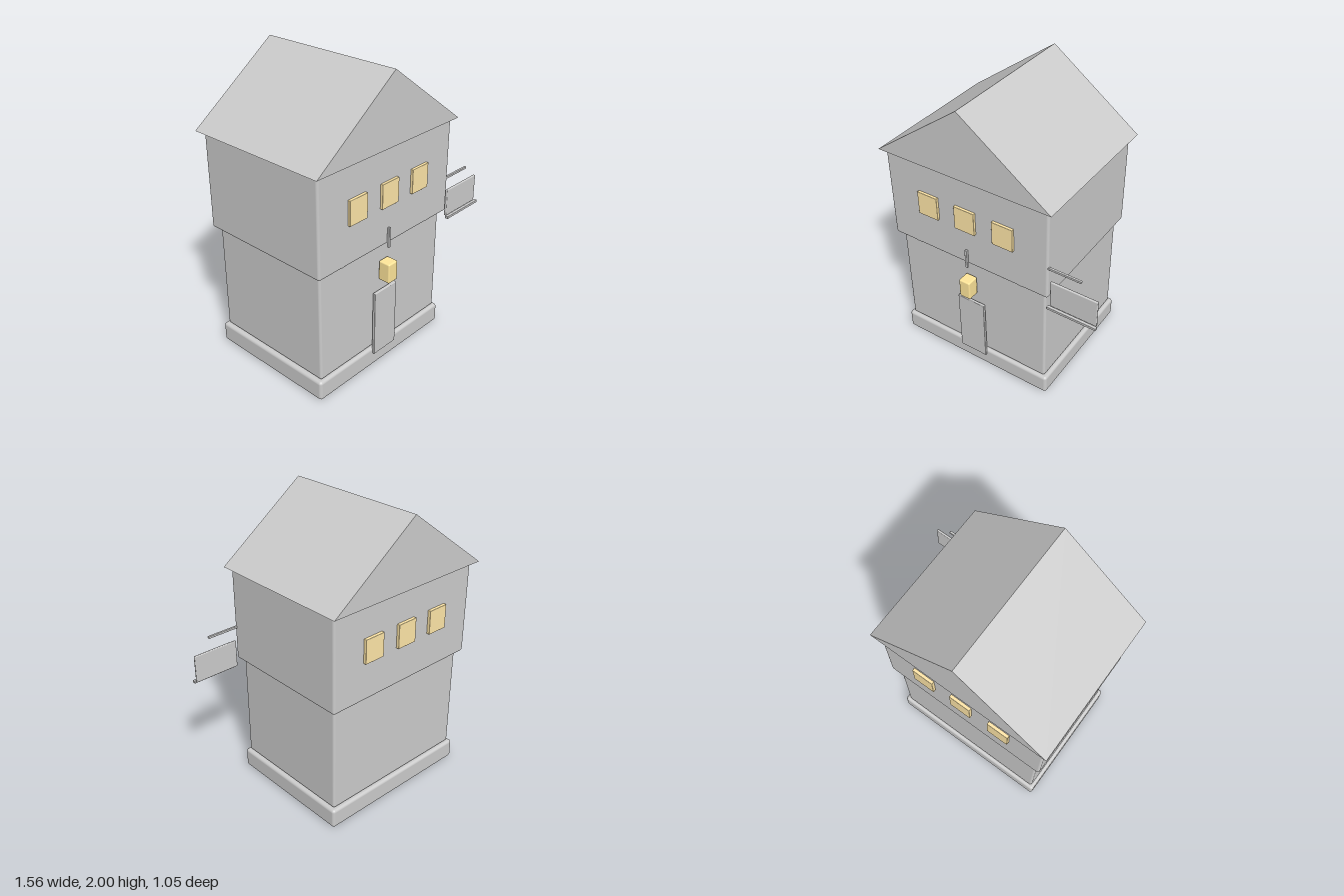
import * as THREE from 'three';
import { RoundedBoxGeometry } from 'three/addons/geometries/RoundedBoxGeometry.js';

const grey = new THREE.MeshStandardMaterial({ color: 0xcccccc });
const glow = new THREE.MeshStandardMaterial({ color: 0xffe6a8 });
const lamp = new THREE.MeshStandardMaterial({ color: 0xffe69a });

// Box given by its extents on each axis; radius > 0 rounds the edges
function block(parent, name, [x0, x1], [y0, y1], [z0, z1], radius = 0, material = grey) {
  const size = [x1 - x0, y1 - y0, z1 - z0];
  const geometry = radius > 0
    ? new RoundedBoxGeometry(...size, 3, radius)
    : new THREE.BoxGeometry(...size);
  const mesh = new THREE.Mesh(geometry, material);
  mesh.name = name;
  mesh.position.set((x0 + x1) / 2, (y0 + y1) / 2, (z0 + z1) / 2);
  parent.add(mesh);
  return mesh;
}

export function createModel() {
  const house = new THREE.Group();
  house.name = 'house';
  const cx = -0.158; // centre line of the house

  // Foundation and two storeys, the upper one jutting out
  block(house, 'foundation', [-0.74, 0.424], [0.005, 0.142], [-0.47, 0.455], 0.02);
  block(house, 'lowerStorey', [-0.715, 0.4], [0.142, 0.888], [-0.447, 0.435], 0.016);
  block(house, 'upperStorey', [-0.752, 0.435], [0.888, 1.54], [-0.484, 0.47], 0.016);

  // Gable roof
  const gable = new THREE.Shape([
    new THREE.Vector2(-0.785, 1.54),
    new THREE.Vector2(0.469, 1.54),
    new THREE.Vector2(cx, 2),
  ]);
  const roof = new THREE.Mesh(
    new THREE.ExtrudeGeometry(gable, { depth: 1.025, bevelEnabled: false }), grey);
  roof.name = 'roof';
  roof.position.z = -0.525;
  house.add(roof);

  // Timber posts sunk into the front wall
  for (const x of [-0.552, 0.236]) {
    block(house, 'timberPost', [x - 0.019, x + 0.019], [0.892, 1.536], [0.445, 0.469], 0.003);
  }

  // Three lit windows on the front and the back
  for (const dx of [-0.28, 0, 0.28]) {
    const span = [cx + dx - 0.075, cx + dx + 0.075];
    block(house, 'frontWindow', span, [1.153, 1.318], [0.465, 0.488], 0.003, glow);
    block(house, 'backWindow', span, [1.153, 1.318], [-0.505, -0.48], 0.003, glow);
  }

  // Door with lantern and hanging rod above
  block(house, 'door', [-0.261, -0.055], [0.098, 0.562], [0.447, 0.468], 0.005);
  block(house, 'lantern', [-0.2, -0.117], [0.633, 0.77], [0.439, 0.524], 0.01, lamp);
  block(house, 'lanternRod', [-0.167, -0.149], [0.865, 1.003], [0.472, 0.49], 0.004);

  // Sign board beside the wall, with its arm and lower rail
  const sign = new THREE.Group();
  sign.name = 'sign';
  house.add(sign);
  block(sign, 'signArm', [0.42, 0.655], [1.114, 1.13], [0.448, 0.465], 0.004);
  block(sign, 'signBoard', [0.449, 0.771], [0.836, 1.027], [0.449, 0.466], 0.006);
  block(sign, 'signRail', [0.439, 0.779], [0.824, 0.842], [0.467, 0.49], 0.004);

  return house;
}
